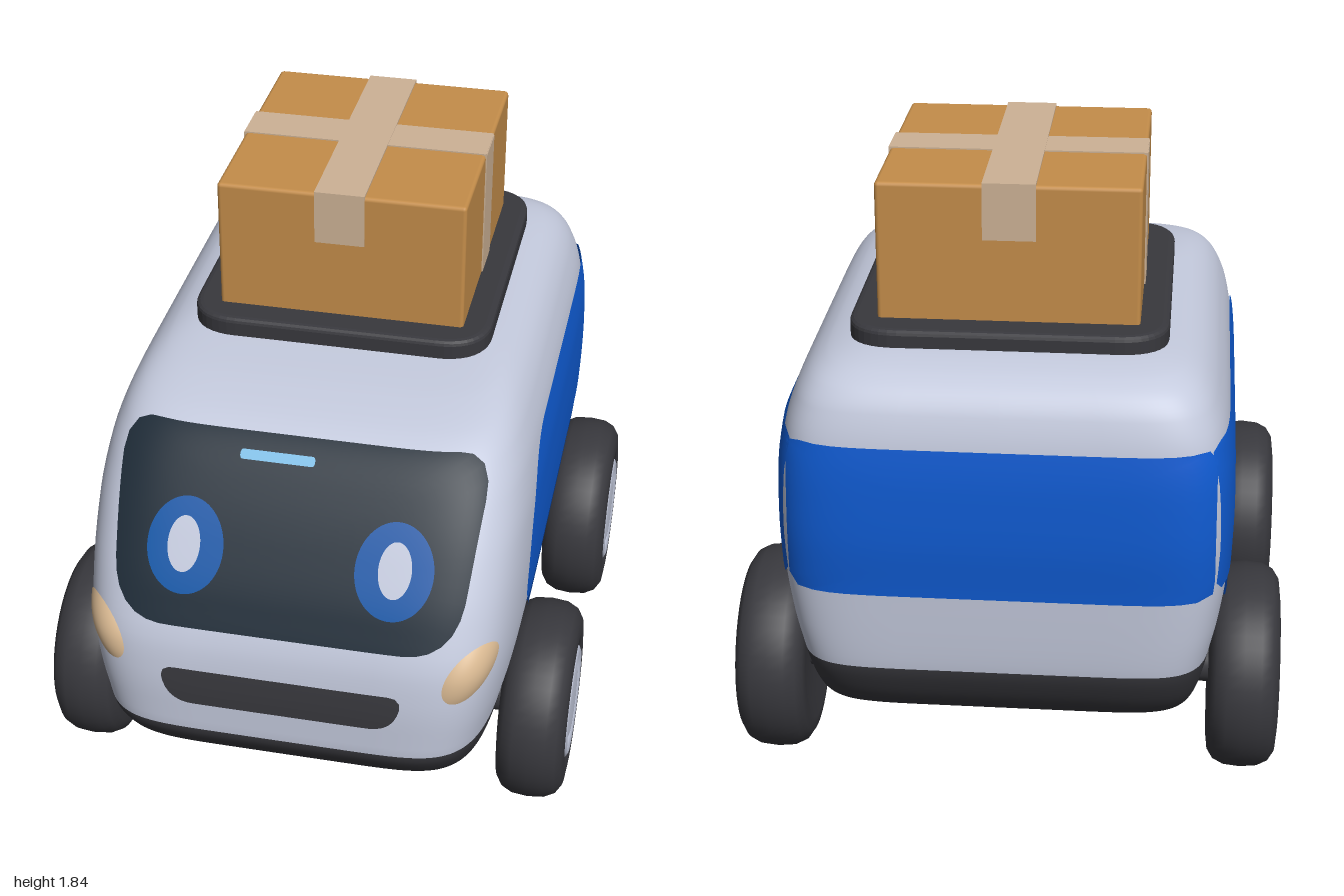
import * as THREE from 'three';
import { RoundedBoxGeometry } from 'three/addons/geometries/RoundedBoxGeometry.js';

const mat = (name, color) => Object.assign(new THREE.MeshStandardMaterial({ color }), { name });

// Body levels: height, half width, front z, back z
const ROWS = [
  [0.25, 0.50, 0.72, -0.76], [0.27, 0.545, 0.79, -0.82], [0.32, 0.57, 0.88, -0.89],
  [0.40, 0.59, 0.96, -0.945], [0.48, 0.605, 1.0, -0.975], [0.60, 0.63, 1.0, -0.985],
  [0.75, 0.648, 0.985, -0.992], [0.90, 0.652, 0.925, -1.0], [1.05, 0.648, 0.835, -0.995],
  [1.18, 0.63, 0.74, -0.98], [1.27, 0.60, 0.655, -0.955], [1.32, 0.57, 0.575, -0.925],
  [1.36, 0.525, 0.43, -0.87], [1.385, 0.46, 0.23, -0.79], [1.40, 0.36, 0.0, -0.66],
];
const ZC = -0.2, N_FRONT = 7, N_BACK = 8, BASE_ROW = 4;

// Monotone cubic interpolation of the level table
function level(y) {
  const last = ROWS.length - 1;
  let i = 0;
  while (i < last - 1 && y > ROWS[i + 1][0]) i++;
  const h = ROWS[i + 1][0] - ROWS[i][0];
  const t = THREE.MathUtils.clamp((y - ROWS[i][0]) / h, 0, 1);
  const secant = (k, c) => (ROWS[k + 1][c] - ROWS[k][c]) / (ROWS[k + 1][0] - ROWS[k][0]);
  const slope = (k, c) => {
    if (k === 0) return secant(0, c);
    if (k === last) return secant(last - 1, c);
    const a = secant(k - 1, c), b = secant(k, c);
    return a * b > 0 ? (2 * a * b) / (a + b) : 0;
  };
  const value = c => {
    const a = ROWS[i][c], b = ROWS[i + 1][c], t2 = t * t, t3 = t2 * t;
    return a * (2 * t3 - 3 * t2 + 1) + b * (3 * t2 - 2 * t3)
      + h * (slope(i, c) * (t3 - 2 * t2 + t) + slope(i + 1, c) * (t3 - t2));
  };
  return { w: value(1), front: value(2) - ZC, back: ZC - value(3) };
}

// Body shell: stacked superellipse sections, dark below and pale above
function bodyGeometry() {
  const SEG = 128, SUB = 4, pos = [], idx = [];
  const rings = (ROWS.length - 1) * SUB + 1;
  for (let i = 0; i < rings; i++) {
    const k = Math.min(Math.floor(i / SUB), ROWS.length - 2);
    const y = THREE.MathUtils.lerp(ROWS[k][0], ROWS[k + 1][0], i / SUB - k);
    const L = level(y);
    for (let j = 0; j < SEG; j++) {
      const a = (j / SEG) * Math.PI * 2, c = Math.cos(a), s = Math.sin(a);
      const p = 2 / (s > 0 ? N_FRONT : N_BACK);
      pos.push(L.w * Math.sign(c) * Math.abs(c) ** p, y,
        ZC + (s > 0 ? L.front : L.back) * Math.sign(s) * Math.abs(s) ** p);
    }
  }
  const bottom = rings * SEG, top = bottom + 1;
  pos.push(0, 0.25, 0, 0, 1.405, -0.3);
  for (let j = 0; j < SEG; j++) idx.push(bottom, j, (j + 1) % SEG);
  let split = 0;
  for (let i = 0; i < rings - 1; i++) {
    if (i === BASE_ROW * SUB) split = idx.length;
    for (let j = 0; j < SEG; j++) {
      const a = i * SEG + j, b = i * SEG + (j + 1) % SEG;
      idx.push(a, a + SEG, b, b, a + SEG, b + SEG);
    }
  }
  const r = (rings - 1) * SEG;
  for (let j = 0; j < SEG; j++) idx.push(top, r + (j + 1) % SEG, r + j);
  const g = new THREE.BufferGeometry();
  g.setAttribute('position', new THREE.Float32BufferAttribute(pos, 3));
  g.setIndex(idx);
  g.addGroup(0, split, 0);
  g.addGroup(split, idx.length - split, 1);
  g.computeVertexNormals();
  return g;
}

// Implicit body function, used for surface normals
function field(x, y, z) {
  const L = level(y), n = z > ZC ? N_FRONT : N_BACK;
  return Math.abs(x / L.w) ** n + Math.abs((z - ZC) / (z > ZC ? L.front : L.back)) ** n;
}
const curve = (r, n) => Math.max(0, 1 - Math.abs(r) ** n) ** (1 / n);

// Projections of flat outlines onto the body
const onFront = (u, v) => { const L = level(v); return [u, v, ZC + L.front * curve(u / L.w, N_FRONT)]; };
const onBack = (u, v) => { const L = level(v); return [-u, v, ZC - L.back * curve(u / L.w, N_BACK)]; };
const onSide = side => (u, v) => {
  const L = level(v), d = u - ZC;
  return [side * L.w * (d > 0 ? curve(d / L.front, N_FRONT) : curve(d / L.back, N_BACK)), v, u];
};

// Outlines: polygon with rounded corners [x, y, radius], or tilted ellipse
function rounded(pts, Type = THREE.Path) {
  const path = new Type(), n = pts.length;
  pts.forEach(([x, y, r], i) => {
    const toward = q => {
      const d = Math.hypot(q[0] - x, q[1] - y);
      return [x + (q[0] - x) * r / d, y + (q[1] - y) * r / d];
    };
    const a = toward(pts[(i + n - 1) % n]), b = toward(pts[(i + 1) % n]);
    if (i) path.lineTo(...a); else path.moveTo(...a);
    path.quadraticCurveTo(x, y, ...b);
  });
  path.closePath();
  return path;
}
const ellipse = (x, y, rx, ry, tilt = 0) =>
  new THREE.Path().absellipse(x, y, rx, ry, 0, Math.PI * 2, false, tilt);

// Thin panel that follows the body surface
function panel(path, project, lift, flip = false, bulge = 0) {
  const outline = path.getSpacedPoints(72).slice(0, -1), n = outline.length, RINGS = 18;
  if (flip) outline.reverse();
  const box = new THREE.Box2().setFromPoints(outline), c = box.getCenter(new THREE.Vector2());
  const pos = [], idx = [], e = 1e-3;
  const add = (u, v, r) => {
    const [x, y, z] = project(u, v);
    const normal = new THREE.Vector3(
      field(x + e, y, z) - field(x - e, y, z),
      field(x, y + e, z) - field(x, y - e, z),
      field(x, y, z + e) - field(x, y, z - e)).normalize();
    const d = lift + bulge * (1 - r * r);
    pos.push(x + normal.x * d, y + normal.y * d, z + normal.z * d);
  };
  add(c.x, c.y, 0);
  for (let i = 1; i <= RINGS; i++) {
    const r = Math.sin((i / RINGS) * Math.PI / 2);
    for (const p of outline) add(c.x + (p.x - c.x) * r, c.y + (p.y - c.y) * r, r);
  }
  for (let j = 0; j < n; j++) {
    const k = (j + 1) % n;
    idx.push(0, 1 + j, 1 + k);
    for (let i = 0; i < RINGS - 1; i++) {
      const a = 1 + i * n + j, b = 1 + i * n + k;
      idx.push(a, a + n, b, b, a + n, b + n);
    }
  }
  const g = new THREE.BufferGeometry();
  g.setAttribute('position', new THREE.Float32BufferAttribute(pos, 3));
  g.setIndex(idx);
  g.computeVertexNormals();
  return g;
}

export function createModel() {
  const model = new THREE.Group();
  const shell = mat('paleShell', 0xc3c9dc), dark = mat('darkRubber', 0x38383d);
  const blue = mat('bluePaint', 0x0f5ad0), glass = mat('darkGlass', 0x1f2c38);
  const eyeBlue = mat('eyeBlue', 0x0f57a6), glow = mat('lightBlue', 0x7cbce4);
  const lamp = mat('warmLamp', 0xd8b891), card = mat('cardboard', 0xc48d4a), tapeMat = mat('tape', 0xcdb296);
  for (const m of [blue, glass, eyeBlue, glow, lamp]) m.side = THREE.DoubleSide;
  const add = (name, geometry, material, parent = model) => {
    const m = new THREE.Mesh(geometry, material);
    m.name = name;
    parent.add(m);
    return m;
  };

  add('body', bodyGeometry(), [dark, shell]);

  // Face
  add('windshield', panel(rounded([[-0.50, 0.83, 0.15], [0.50, 0.83, 0.15], [0.54, 1.3, 0.1], [-0.54, 1.3, 0.1]]), onFront, 0.006), glass);
  add('lightBar', panel(rounded([[-0.18, 1.246, 0.008], [0.04, 1.246, 0.008], [0.04, 1.266, 0.008], [-0.18, 1.266, 0.008]]), onFront, 0.011), glow);
  add('grille', panel(rounded([[-0.33, 0.583, 0.07], [0.33, 0.583, 0.07], [0.365, 0.703, 0.05], [-0.365, 0.703, 0.05]]), onFront, 0.006), dark);
  for (const s of [-1, 1]) {
    add('eyeRing', panel(ellipse(s * 0.305, 1.035, 0.113, 0.118), onFront, 0.011), eyeBlue);
    add('pupil', panel(ellipse(s * 0.308, 1.04, 0.048, 0.068), onFront, 0.016), shell);
    add('headlight', panel(ellipse(s * 0.537, 0.765, 0.055, 0.09, s * -0.6), onFront, 0.005, false, 0.015), lamp);
  }

  // Blue side and back panels
  for (const s of [-1, 1]) {
    add('sidePanel', panel(rounded([[-0.915, 0.74, 0.03], [0.58, 0.74, 0.12], [0.53, 0.96, 0.1], [0.36, 1.19, 0.18], [-0.915, 1.19, 0.03]]), onSide(s), 0.007, s > 0), blue);
    add('lowerSidePanel', panel(rounded([[-0.4, 0.43, 0.03], [0.25, 0.43, 0.03], [0.42, 0.665, 0.05], [-0.78, 0.665, 0.05]]), onSide(s), 0.007, s > 0), blue);
  }
  add('backPanel', panel(rounded([[-0.6, 0.73, 0.03], [0.6, 0.73, 0.03], [0.595, 1.18, 0.03], [-0.595, 1.18, 0.03]]), onBack, 0.007), blue);

  // Wheels
  const lathe = pts => new THREE.LatheGeometry(pts.map(p => new THREE.Vector2(...p)), 48);
  const tyre = lathe([[0, -0.085], [0.17, -0.09], [0.22, -0.105], [0.262, -0.1], [0.29, -0.082], [0.306, -0.05], [0.311, 0],
    [0.306, 0.05], [0.29, 0.082], [0.262, 0.1], [0.22, 0.105], [0.18, 0.1], [0.17, 0.07]]);
  const hub = lathe([[0.176, 0.06], [0.175, 0.1], [0.162, 0.107], [0.145, 0.1], [0.135, 0.088], [0.116, 0.088],
    [0.112, 0.1], [0.1, 0.104], [0, 0.104]]);
  for (const z of [0.457, -0.58]) {
    for (const s of [-1, 1]) {
      const wheel = new THREE.Group();
      wheel.name = z > 0 ? 'frontWheel' : 'rearWheel';
      add('tyre', tyre, dark, wheel);
      add('hub', hub, shell, wheel);
      wheel.position.set(s * 0.703, 0.315, z);
      wheel.rotation.z = -s * Math.PI / 2;
      model.add(wheel);
    }
    const axle = add('axle', new THREE.CylinderGeometry(0.06, 0.06, 1.28, 20), dark);
    axle.rotation.z = Math.PI / 2;
    axle.position.set(0, 0.315, z);
  }

  // Roof tray
  const tray = rounded([[-0.435, -0.225, 0.13], [0.435, -0.225, 0.13], [0.435, 0.74, 0.13], [-0.435, 0.74, 0.13]], THREE.Shape);
  const trayGeometry = new THREE.ExtrudeGeometry(tray, { depth: 0.05, bevelSize: 0.02, bevelThickness: 0.015, bevelSegments: 3, curveSegments: 10 });
  trayGeometry.rotateX(-Math.PI / 2).translate(0, 1.375, 0);
  add('roofTray', trayGeometry, dark);

  // Parcel with crossed tape
  const parcel = new THREE.Group();
  parcel.name = 'parcel';
  model.add(parcel);
  add('box', new RoundedBoxGeometry(0.745, 0.42, 0.81, 2, 0.012), card, parcel).position.set(0, 1.63, -0.255);
  const strip = (w, h, d, x, y, z) => add('tapeStrip', new THREE.BoxGeometry(w, h, d), tapeMat, parcel).position.set(x, y, z);
  strip(0.15, 0.008, 0.818, -0.003, 1.842, -0.255);
  strip(0.749, 0.006, 0.145, 0, 1.841, -0.265);
  for (const s of [-1, 1]) {
    strip(0.15, 0.165, 0.008, -0.003, 1.763, -0.255 + s * 0.405);
    strip(0.008, 0.41, 0.14, s * 0.3725, 1.637, -0.262);
  }
  return model;
}
